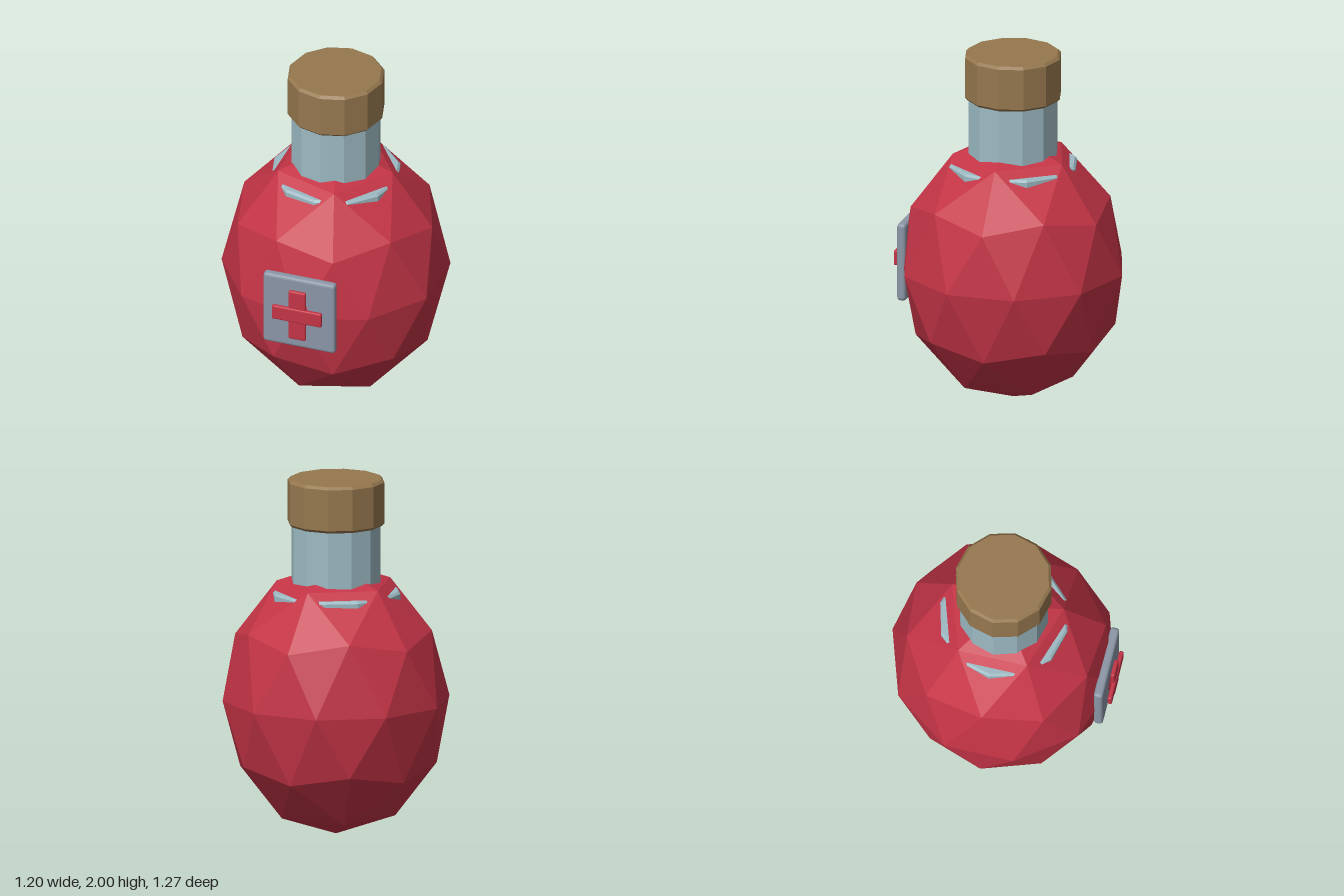
import * as THREE from 'three';
import { RoundedBoxGeometry } from 'three/addons/geometries/RoundedBoxGeometry.js';

const CZ = -0.008; // bottle axis sits a touch behind the origin

const mat = (color) => new THREE.MeshStandardMaterial({ color, flatShading: true });

export function createModel() {
  const root = new THREE.Group();
  root.name = 'potionBottle';
  const red = mat(0xc43446);
  const glass = mat(0x9dbac3);
  const cork = mat(0x96784f);
  const steel = mat(0x8b96a6);

  const add = (name, geometry, material, x, y, z) => {
    const mesh = new THREE.Mesh(geometry, material);
    mesh.name = name;
    mesh.position.set(x, y, z);
    root.add(mesh);
    return mesh;
  };

  // twelve-sided cylinder with chamfered rims, base at y0
  const chamferedDrum = (name, r, y0, y1, bevel, material) => {
    const h = y1 - y0;
    const profile = [
      [0, 0], [r - bevel, 0], [r, bevel],
      [r, h - bevel], [r - bevel, h], [0, h],
    ].map(([a, b]) => new THREE.Vector2(a, b));
    return add(name, new THREE.LatheGeometry(profile, 12), material, 0, y0, CZ);
  };

  // faceted egg-shaped body: icosphere tipped onto a vertex, stretched upward
  const body = new THREE.IcosahedronGeometry(1, 1);
  body.rotateZ(-Math.atan(2 / (1 + Math.sqrt(5))));
  body.scale(0.63, 0.762, 0.63);
  add('body', body, red, 0, 0.765, CZ);

  // neck, collar that breaks through the shoulder facets, and stopper
  chamferedDrum('neck', 0.25, 1.3, 1.78, 0.01, glass);
  chamferedDrum('shoulderCollar', 0.36, 1.27, 1.373, 0.012, glass);
  chamferedDrum('stopper', 0.27, 1.74, 2.0, 0.015, cork);

  // label plate with a raised cross
  const block = (name, w, h, d, r, material, y, z) =>
    add(name, new RoundedBoxGeometry(w, h, d, 2, r), material, 0, y, z);
  block('labelPlate', 0.42, 0.445, 0.052, 0.018, steel, 0.785, 0.573);
  block('crossUpright', 0.1, 0.31, 0.024, 0.009, red, 0.785, 0.618);
  block('crossBar', 0.29, 0.088, 0.025, 0.009, red, 0.787, 0.624);

  return root;
}
